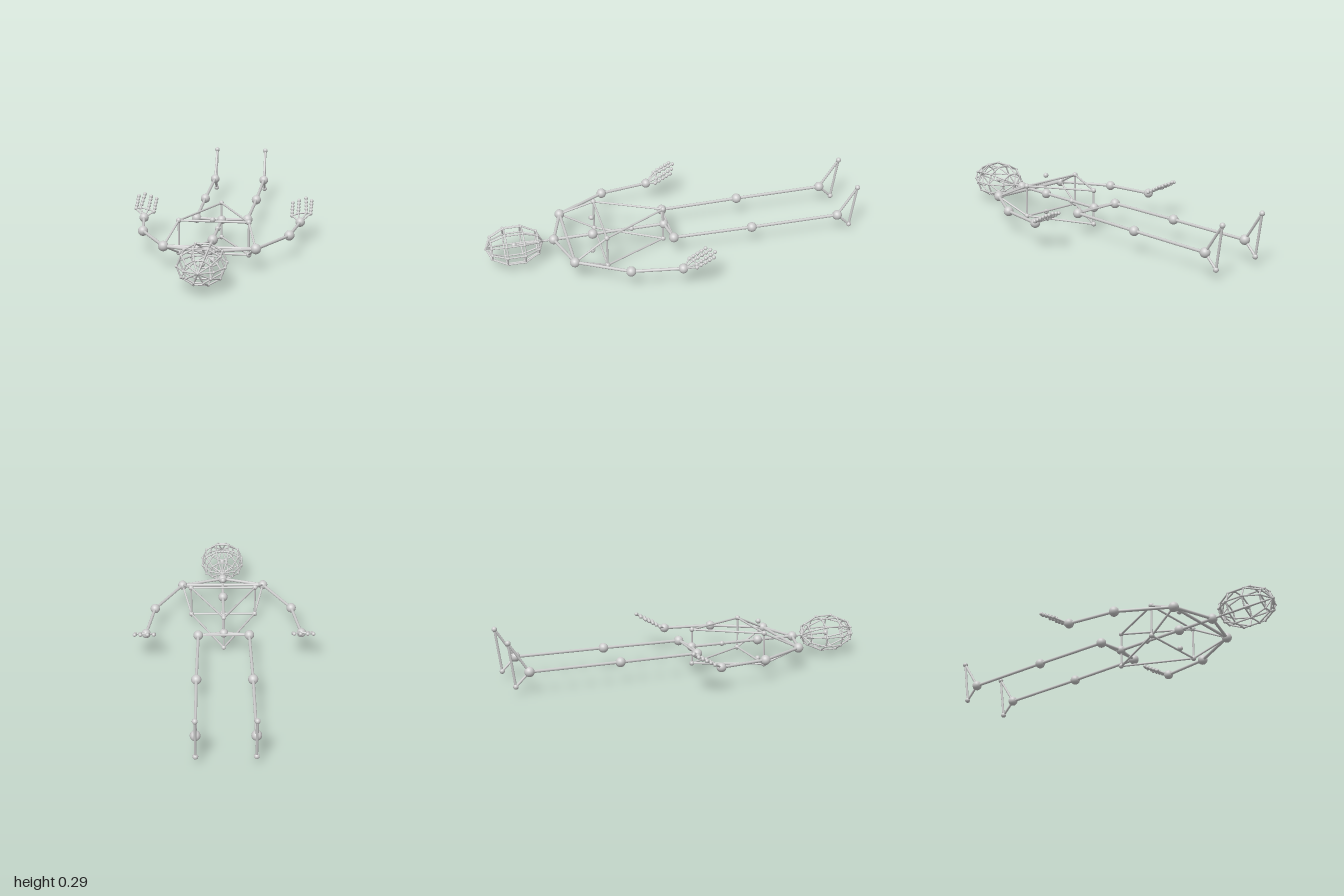
import * as THREE from 'three';

const Y = 0.117; // height of the body's mid plane
const material = new THREE.MeshStandardMaterial({ color: 0xcccccc });
const ballShape = new THREE.SphereGeometry(1, 18, 12);
const rodShape = new THREE.CylinderGeometry(1, 1, 1, 10);
const V = (x, y, z) => new THREE.Vector3(x, y, z);
const UP = V(0, 1, 0);

function part(parent, name) {
  const g = new THREE.Group();
  g.name = name;
  parent.add(g);
  return g;
}

function ball(parent, name, p, r) {
  const m = new THREE.Mesh(ballShape, material);
  m.name = name;
  m.position.copy(p);
  m.scale.setScalar(r);
  parent.add(m);
}

// Straight rod between two points
function rod(parent, name, a, b, r) {
  const d = b.clone().sub(a);
  const m = new THREE.Mesh(rodShape, material);
  m.name = name;
  m.position.copy(a).add(b).multiplyScalar(0.5);
  m.scale.set(r, d.length(), r);
  m.quaternion.setFromUnitVectors(UP, d.normalize());
  parent.add(m);
}

const BIG = 0.026, SMALL = 0.014, LIMB = 0.008, FRAME = 0.0055;
const neck = V(0, Y, 0.633), chest = V(0, Y, 0.426), belly = V(0, Y, 0.217), pelvis = V(0, Y, 0.041);
const headCentre = V(0, Y, 0.841);

// Wire head: ten meridians and four rings around the z axis
function buildHead(parent) {
  const head = part(parent, 'head');
  const node = (i, j) => {
    const t = (i * Math.PI) / 5, a = (j * Math.PI) / 5;
    return V(0.12 * Math.sin(t) * Math.cos(a), 0.096 * Math.sin(t) * Math.sin(a), 0.149 * Math.cos(t)).add(headCentre);
  };
  for (let j = 0; j < 10; j++) {
    for (let i = 0; i < 5; i++) {
      rod(head, 'headMeridian', node(i, j), node(i + 1, j), 0.0042);
      if (i === 0) continue;
      rod(head, 'headRing', node(i, j), node(i, j + 1), 0.0042);
      ball(head, 'headNode', node(i, j), 0.0075);
    }
  }
  ball(head, 'crown', node(0, 0), 0.0075);
  ball(head, 'headBase', node(5, 0), 0.0075);
  ball(head, 'headCentre', headCentre, SMALL);
  rod(head, 'neckRod', neck, headCentre, FRAME);
}

// Spine, with the loose chest markers in front and behind
function buildSpine(parent) {
  const spine = part(parent, 'spine');
  rod(spine, 'spineRod', neck, pelvis, LIMB);
  ball(spine, 'neckJoint', neck, BIG);
  ball(spine, 'chestJoint', chest, BIG);
  ball(spine, 'bellyJoint', belly, SMALL);
  ball(spine, 'pelvisJoint', pelvis, 0.024);
  for (const h of [-1, 1]) ball(spine, 'chestMarker', V(0, Y + h * 0.104, 0.429), SMALL);
}

// Torso cage: rib corners joined to the shoulders and to the pelvis
function buildCage(parent) {
  const cage = part(parent, 'torsoCage');
  const rib = (s, h) => V(s * 0.177, Y + h * 0.084, 0.384);
  const low = (h) => V(0, Y + h * 0.093, 0.044);
  for (const h of [-1, 1]) {
    rod(cage, 'ribBar', rib(-1, h), rib(1, h), FRAME);
    ball(cage, 'pelvisNode', low(h), 0.013);
    for (const s of [-1, 1]) {
      ball(cage, 'ribNode', rib(s, h), SMALL);
      rod(cage, 'flankRod', rib(s, h), low(h), FRAME);
      rod(cage, 'shoulderRod', rib(s, h), V(s * 0.228, Y, 0.562), FRAME);
    }
  }
  for (const s of [-1, 1]) rod(cage, 'ribUpright', rib(s, -1), rib(s, 1), FRAME);
  rod(cage, 'pelvisUpright', low(-1), low(1), FRAME);
}

// Four fingers fanning from the wrist: base and tip as [x, y, z]
const FINGERS = [
  [[0.467, 0.150, -0.016], [0.467, 0.197, -0.103]],
  [[0.444, 0.153, -0.020], [0.436, 0.206, -0.118]],
  [[0.401, 0.149, -0.016], [0.400, 0.197, -0.103]],
  [[0.369, 0.139, -0.002], [0.368, 0.188, -0.087]],
];

function buildArm(parent, s) {
  const arm = part(parent, s > 0 ? 'leftArm' : 'rightArm');
  const shoulder = V(s * 0.228, Y, 0.562), elbow = V(s * 0.375, Y, 0.302), wrist = V(s * 0.415, Y, 0.041);
  ball(arm, 'shoulder', shoulder, BIG);
  ball(arm, 'elbow', elbow, BIG);
  ball(arm, 'wrist', wrist, 0.025);
  rod(arm, 'collarRod', neck, shoulder, LIMB);
  rod(arm, 'upperArm', shoulder, elbow, LIMB);
  rod(arm, 'forearm', elbow, wrist, LIMB);

  const hand = part(arm, 'hand');
  let previous = null;
  for (const [b, t] of FINGERS) {
    const base = V(s * b[0], b[1], b[2]), tip = V(s * t[0], t[1], t[2]);
    rod(hand, 'palmRod', wrist, base, 0.0045);
    rod(hand, 'finger', base, tip, 0.0045);
    if (previous) rod(hand, 'knuckleRod', previous, base, 0.0045);
    for (let i = 0; i <= 4; i++) ball(hand, 'fingerJoint', base.clone().lerp(tip, i / 4), 0.01);
    previous = base;
  }
}

function buildLeg(parent, s) {
  const leg = part(parent, s > 0 ? 'leftLeg' : 'rightLeg');
  const hip = V(s * 0.136, Y, 0.02), knee = V(s * 0.144, Y, -0.404), ankle = V(s * 0.146, Y, -0.882);
  const toe = V(s * 0.145, 0.274, -0.986), heel = V(s * 0.145, 0.047, -0.953);
  for (const [name, p] of [['hip', hip], ['knee', knee], ['ankle', ankle]]) ball(leg, name, p, BIG);
  rod(leg, 'pelvisRod', pelvis, hip, LIMB);
  rod(leg, 'thigh', hip, knee, LIMB);
  rod(leg, 'shin', knee, ankle, LIMB);

  const foot = part(leg, 'foot');
  ball(foot, 'toe', toe, SMALL);
  ball(foot, 'heel', heel, SMALL);
  rod(foot, 'instep', ankle, toe, 0.0065);
  rod(foot, 'heelRod', ankle, heel, 0.0065);
  rod(foot, 'sole', heel, toe, 0.0065);
}

export function createModel() {
  const model = new THREE.Group();
  model.name = 'lyingJointFigure';
  buildHead(model);
  buildSpine(model);
  buildCage(model);
  for (const s of [-1, 1]) {
    buildArm(model, s);
    buildLeg(model, s);
  }
  rod(model, 'shoulderBar', V(-0.228, Y, 0.562), V(0.228, Y, 0.562), LIMB);
  rod(model, 'hipBar', V(-0.136, Y, 0.02), V(0.136, Y, 0.02), FRAME);
  return model;
}
